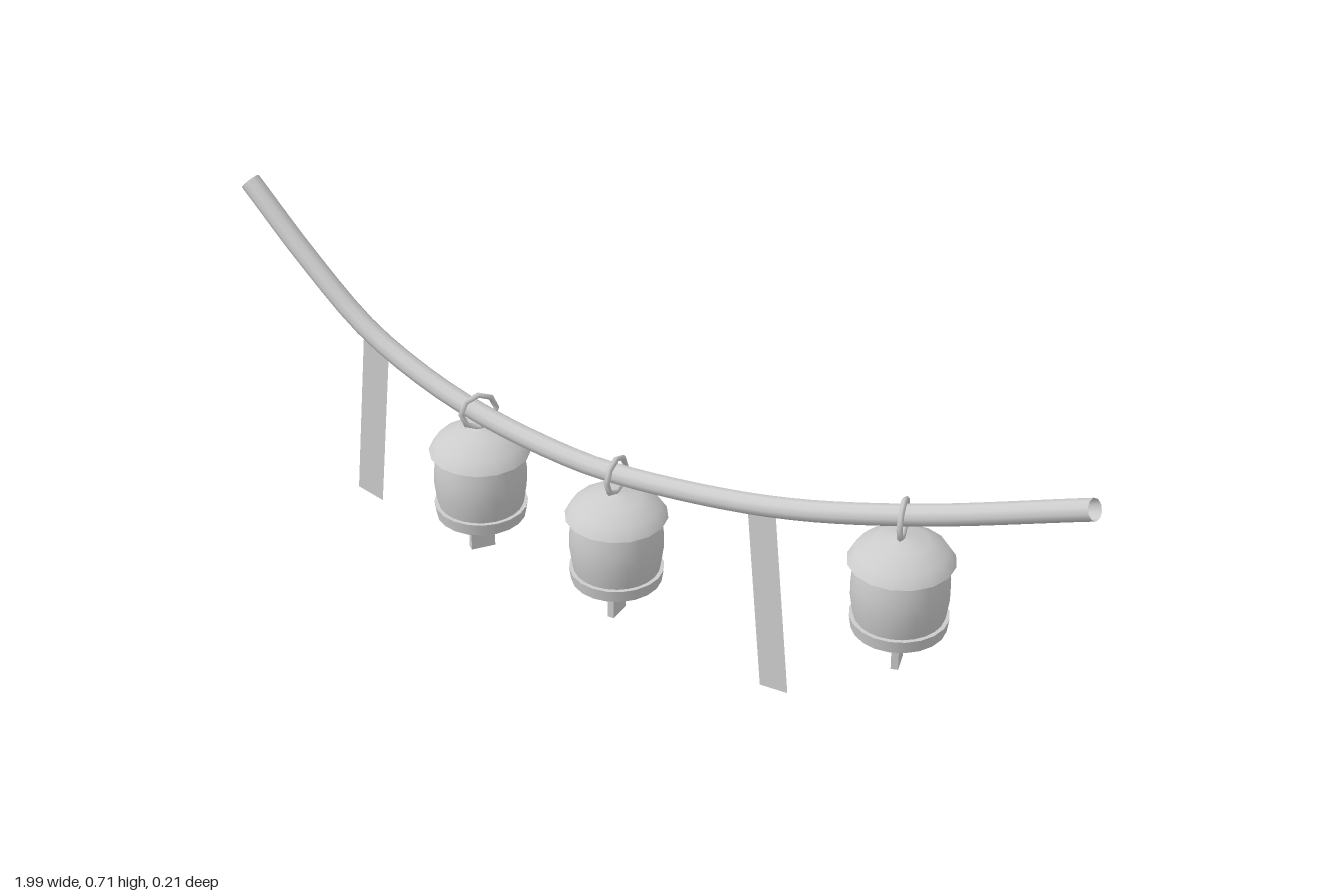
import * as THREE from 'three';

const grey = new THREE.MeshStandardMaterial({ color: 0xcccccc });
const greyOpen = new THREE.MeshStandardMaterial({ color: 0xcccccc, side: THREE.DoubleSide });

function addMesh(parent, name, geometry, material = grey) {
  const mesh = new THREE.Mesh(geometry, material);
  mesh.name = name;
  parent.add(mesh);
  return mesh;
}

const lathe = (points, sides) =>
  new THREE.LatheGeometry(points.map(([r, y]) => new THREE.Vector2(r, y)), sides);

// One hanging bell; its origin is at the height of the lid's rim
function createBell(name, x, y, z, turn) {
  const bell = new THREE.Group();
  bell.name = name;
  bell.position.set(x, y, z);
  bell.rotation.y = turn;

  // Domed lid and its underside
  addMesh(bell, 'lid', lathe([[0.102, 0], [0.087, 0.023], [0.05, 0.044], [0, 0.053]], 16));
  addMesh(bell, 'lidUnderside', lathe([[0.08, 0.002], [0.102, 0]], 16), greyOpen);

  // Hollow barrel, open at the bottom
  addMesh(bell, 'body', lathe([
    [0.082, -0.135], [0.088, -0.11], [0.093, -0.075], [0.093, -0.045], [0.09, -0.02], [0.086, 0.004],
  ], 24), greyOpen);

  // Flared band round the mouth
  addMesh(bell, 'bandOuter', lathe([[0.09, -0.146], [0.094, -0.12]], 20));
  addMesh(bell, 'bandTop', lathe([[0.094, -0.12], [0.084, -0.12]], 20), greyOpen);
  addMesh(bell, 'bandBottom', lathe([[0.078, -0.146], [0.09, -0.146]], 20), greyOpen);
  addMesh(bell, 'bandInner', lathe([[0.078, -0.146], [0.082, -0.12]], 20), greyOpen);

  // Flat clapper
  const clapper = addMesh(bell, 'clapper', new THREE.BoxGeometry(0.014, 0.2, 0.05));
  clapper.position.y = -0.13;

  // Hanging ring looped over the rope
  const ring = addMesh(bell, 'hangingRing', new THREE.TorusGeometry(0.037, 0.006, 6, 8));
  ring.rotation.y = Math.PI / 2;
  ring.position.y = 0.09;
  return bell;
}

// Thin hanging strip, from its four corners in order round the outline
function createStrip(parent, name, corners) {
  const shape = new THREE.Shape(corners.map(([x, y]) => new THREE.Vector2(x, y)));
  addMesh(parent, name, new THREE.ShapeGeometry(shape), greyOpen).position.z = -0.005;
}

export function createModel() {
  const model = new THREE.Group();
  model.name = 'bellGarland';

  // Sagging rope, open at both ends
  const path = new THREE.CatmullRomCurve3([
    [-0.985, 0.692], [-0.84, 0.565], [-0.69, 0.455], [-0.55, 0.397], [-0.407, 0.363], [-0.205, 0.346],
    [-0.06, 0.352], [0.29, 0.417], [0.6, 0.52], [0.988, 0.686],
  ].map(([x, y]) => new THREE.Vector3(x, y, -0.004)));
  addMesh(model, 'rope', new THREE.TubeGeometry(path, 40, 0.021, 10, false), greyOpen);

  // Bells, each turned a little differently
  model.add(
    createBell('rightBell', -0.405, 0.275, -0.005, -0.55),
    createBell('middleBell', -0.063, 0.257, -0.005, 0.13),
    createBell('leftBell', 0.6, 0.425, 0.002, 0.4),
  );

  // Hanging strips
  createStrip(model, 'rightStrip', [[-0.733, 0.059], [-0.669, 0.05], [-0.634, 0.43], [-0.698, 0.455]]);
  createStrip(model, 'leftStrip', [[0.285, 0], [0.35, 0.008], [0.312, 0.415], [0.248, 0.4]]);
  return model;
}
